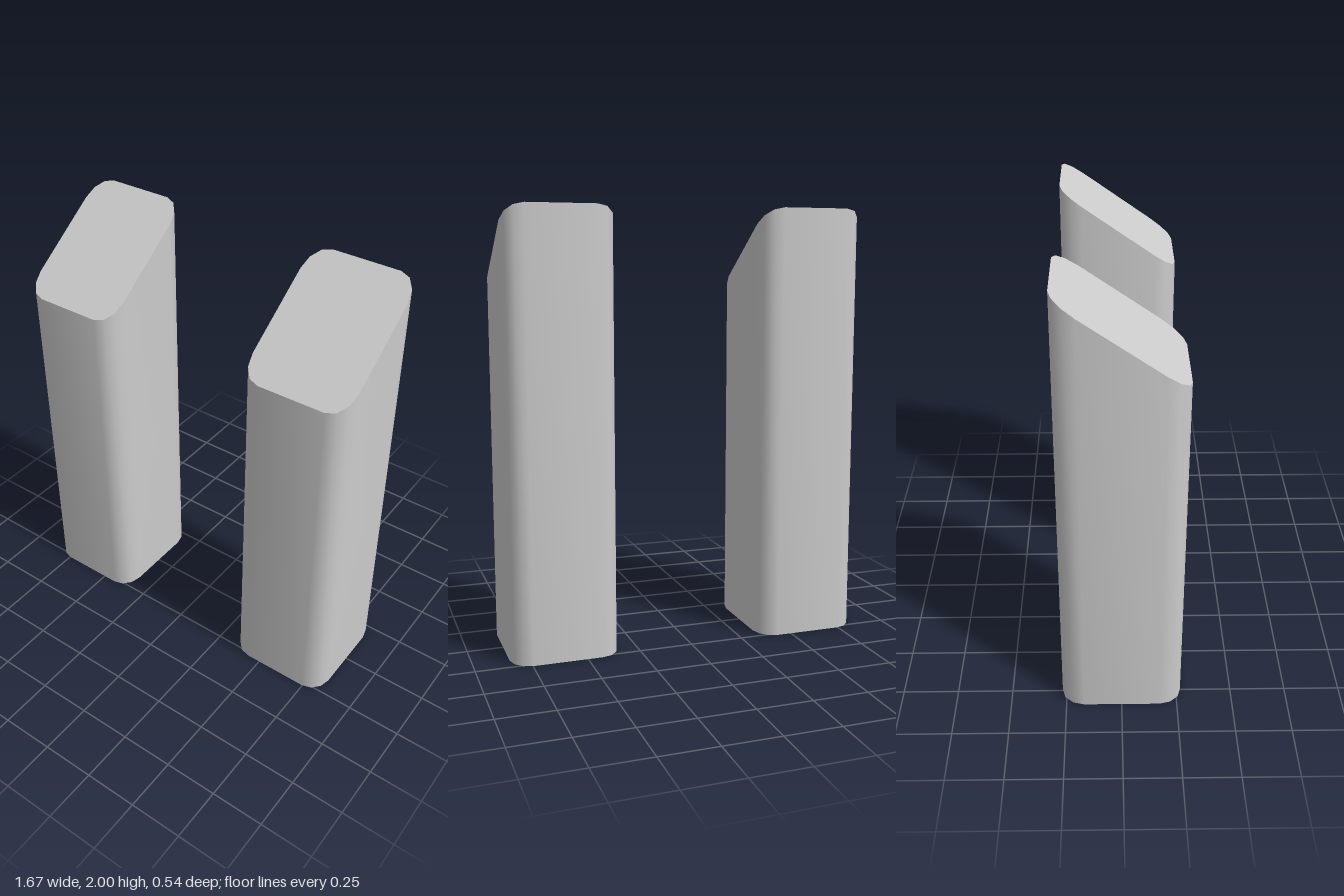
import * as THREE from 'three';
import { toCreasedNormals } from 'three/addons/utils/BufferGeometryUtils.js';

const HALF_W = 0.247, HALF_D = 0.27, RX = 0.09, RZ = 0.1;
const TOP_FRONT = 1.62, TOP_BACK = 2;

// Rounded-rectangle footprint with three facets per corner
function footprint() {
  const points = [];
  for (let corner = 0; corner < 4; corner++) {
    const sx = corner === 0 || corner === 3 ? 1 : -1;
    const sz = corner < 2 ? 1 : -1;
    for (let i = 0; i <= 3; i++) {
      const a = (corner + i / 3) * Math.PI / 2;
      points.push(new THREE.Vector2(
        sx * (HALF_W - RX) + RX * Math.cos(a),
        sz * (HALF_D - RZ) + RZ * Math.sin(a)));
    }
  }
  return new THREE.Shape(points);
}

// Upright prism whose top is cut on a slant, falling towards the front
function pillarGeometry() {
  const geometry = new THREE.ExtrudeGeometry(footprint(), { depth: 1, bevelEnabled: false });
  geometry.rotateX(-Math.PI / 2);
  const p = geometry.attributes.position;
  for (let i = 0; i < p.count; i++) {
    const t = (p.getZ(i) + HALF_D) / (2 * HALF_D);
    p.setY(i, p.getY(i) * THREE.MathUtils.lerp(TOP_BACK, TOP_FRONT, t));
  }
  return toCreasedNormals(geometry, 0.7);
}

export function createModel() {
  const model = new THREE.Group();
  model.name = 'slantedPillars';
  const material = new THREE.MeshStandardMaterial({ color: 0xcccccc });
  const geometry = pillarGeometry();

  // Matching pair either side of the centre
  for (const [name, side] of [['leftPillar', 1], ['rightPillar', -1]]) {
    const pillar = new THREE.Mesh(geometry, material);
    pillar.name = name;
    pillar.position.x = side * 0.589;
    model.add(pillar);
  }
  return model;
}
